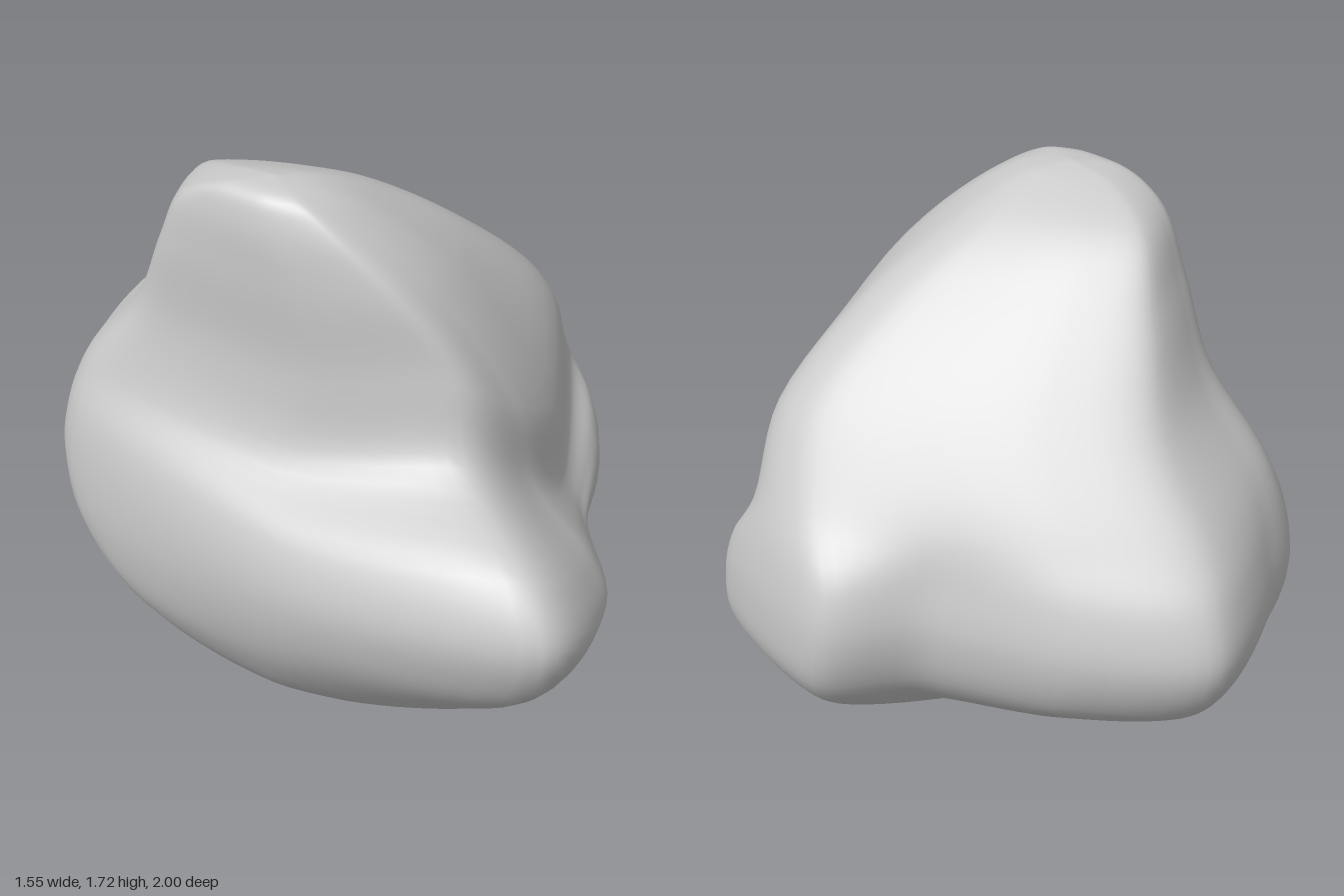
import * as THREE from 'three';
import { mergeVertices } from 'three/addons/utils/BufferGeometryUtils.js';

const COLS = 88, ROWS = 66;
const { lerp, smoothstep } = THREE.MathUtils;

// Plan outlines as x,z corners: right bulge, groove, front lobe, left face, back corner, back notch
const belly = [.77, 0, .6, .27, .41, .72, .05, 1, -.46, .42, -.78, -.42, -.6, -.75, -.32, -1, .03, -.85, .36, -.57, .66, -.47];
const peak = [.58, .02, .45, .28, .26, .42, .04, .47, -.3, .22, -.58, -.25, -.5, -.45, -.28, -.64, 0, -.54, .25, -.38, .52, -.15];

// How far each corner dips along the slanting crease over the lobe
const dip = [.08, .33, .2, 0, .05, 0, 0, 0, 0, 0, 0];

// Height, width scale, depth scale, x shift, z shift of each section
const levels = [
  [0, 0, 0, -.2, 0],
  [.03, .28, .22, -.2, 0],
  [.25, .82, .65, -.03, .03],
  [.45, .98, .91, 0, .01],
  [.65, 1, 1, 0, 0],
  [.82, 1.01, 1, 0, -.02],
  [.97, 1.13, 1.1, 0, -.08],
  [1.2, 1, 1, 0, 0],
  [1.45, .71, .74, -.13, .03],
  [1.62, .44, .49, -.25, .03],
  [1.695, .22, .23, -.3, .06],
  [1.715, 0, 0, -.3, .04],
];

// Corner i of a section: the belly outline gives way to the peak outline above the lobe
function corner(i, [y, sx, sz, dx, dz]) {
  const blend = smoothstep(y, 0.74, 1.05);
  const x = lerp(belly[2 * i], peak[2 * i], blend);
  const z = lerp(belly[2 * i + 1], peak[2 * i + 1], blend);
  const slant = smoothstep(y, 0.3, 0.95) * (1 - smoothstep(y, 1, 1.6));
  return new THREE.Vector3(x * sx + dx, y - dip[i] * slant, z * sz + dz);
}

function rockGeometry() {
  // Smooth upright curves through matching corners
  const meridians = dip.map((_, i) =>
    new THREE.CatmullRomCurve3(levels.map((level) => corner(i, level))));

  // Closed smooth loops across the upright curves
  const positions = [], index = [];
  for (let r = 0; r <= ROWS; r++) {
    const corners = meridians.map((m) => m.getPoint(r / ROWS));
    const pole = r === 0 || r === ROWS;
    const loop = new THREE.CatmullRomCurve3(corners, true, 'catmullrom', 0.4);
    for (let c = 0; c < COLS; c++) {
      const p = pole ? corners[0] : loop.getPoint(c / COLS);
      positions.push(p.x, p.y, p.z);
      if (r === ROWS) continue;
      const a = r * COLS + c, b = r * COLS + ((c + 1) % COLS);
      if (r < ROWS - 1) index.push(a, a + COLS, b + COLS);
      else index.push(a, a + COLS, b);
      if (r > 0 && r < ROWS - 1) index.push(a, b + COLS, b);
    }
  }
  const grid = new THREE.BufferGeometry();
  grid.setAttribute('position', new THREE.Float32BufferAttribute(positions, 3));
  grid.setIndex(index);
  const geometry = mergeVertices(grid, 1e-5);
  geometry.computeVertexNormals();
  return geometry;
}

export function createModel() {
  const group = new THREE.Group();
  group.name = 'boulder';
  const rock = new THREE.Mesh(rockGeometry(), new THREE.MeshStandardMaterial({ color: 0xcccccc }));
  rock.name = 'rock';
  group.add(rock);
  return group;
}
